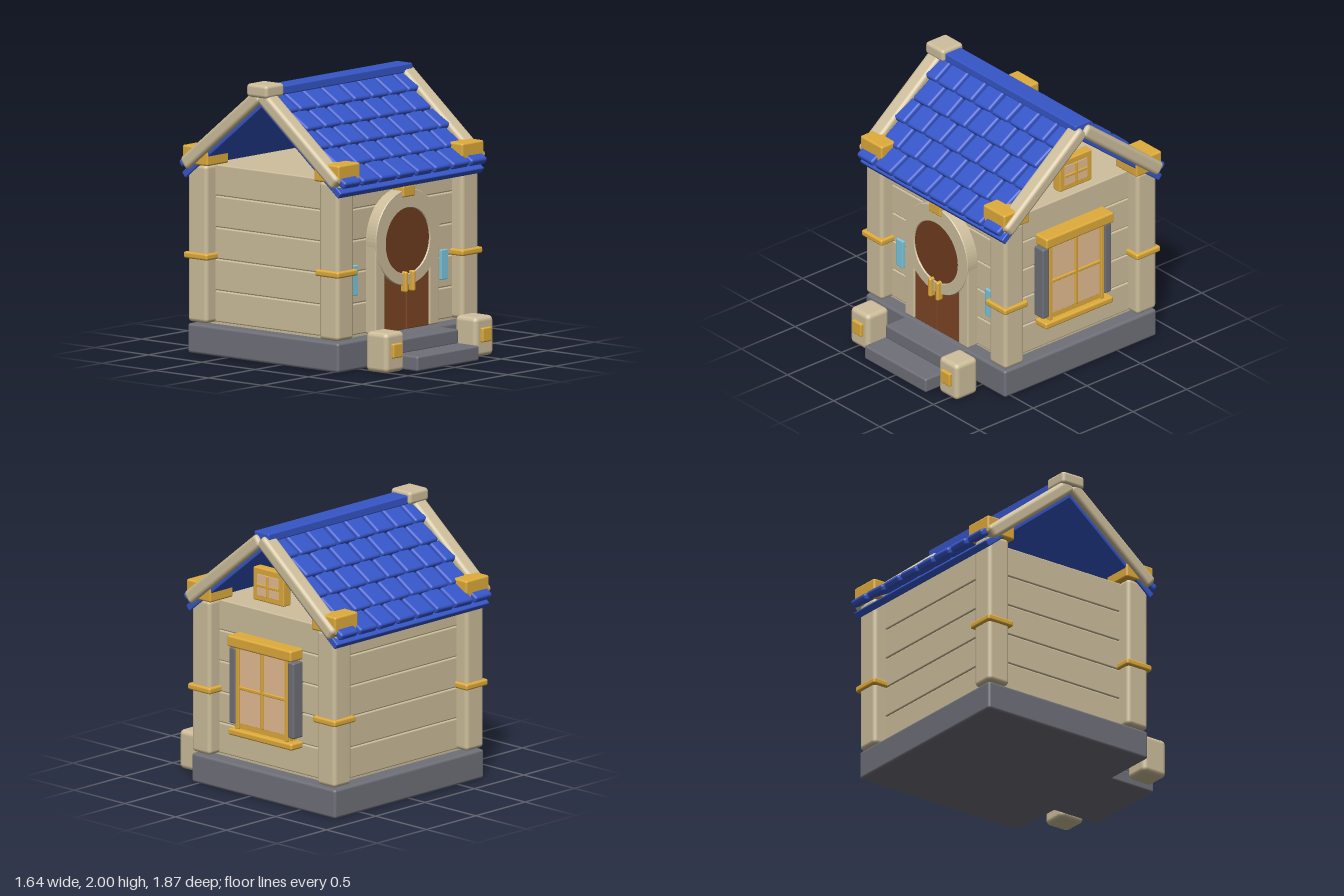
import * as THREE from 'three';
import { RoundedBoxGeometry } from 'three/addons/geometries/RoundedBoxGeometry.js';

const mat = (name, color) => {
  const m = new THREE.MeshStandardMaterial({ color });
  m.name = name;
  return m;
};

export function createModel() {
  const stone = mat('sandstone', 0xcebf9c);
  const slate = mat('slate', 0x70707a);
  const blue = mat('roof blue', 0x3656c8);
  const gold = mat('gold', 0xe0ac3c);
  const wood = mat('door brown', 0x7e4625);
  const darkWood = mat('dark brown', 0x703c1f);
  const glass = mat('warm glass', 0xe6be92);
  const cyan = mat('cyan glass', 0x7dcae2);

  const root = new THREE.Group();
  root.name = 'cottage';
  const house = new THREE.Group();
  house.name = 'house';
  house.position.x = 0.007; // balances the ridge cap overhang
  root.add(house);

  const add = (name, geo, m, parent = house) => {
    const mesh = new THREE.Mesh(geo, m);
    mesh.name = name;
    parent.add(mesh);
    return mesh;
  };
  // Softened box given by its limits on each axis
  const block = (name, m, [x0, x1], [y0, y1], [z0, z1], r = 0.012, parent = house) => {
    const w = x1 - x0, h = y1 - y0, d = z1 - z0;
    const radius = Math.min(r, Math.min(w, h, d) * 0.45);
    const mesh = add(name, new RoundedBoxGeometry(w, h, d, 2, radius), m, parent);
    mesh.position.set((x0 + x1) / 2, (y0 + y1) / 2, (z0 + z1) / 2);
    return mesh;
  };
  // Same block on both sides of x = 0
  const pair = (name, m, [x0, x1], y, z, r) => {
    block(name + 'Left', m, [x0, x1], y, z, r);
    block(name + 'Right', m, [-x1, -x0], y, z, r);
  };

  const ZC = -0.147; // ridge line

  // Foundation and steps
  block('foundation', slate, [-0.757, 0.757], [0, 0.213], [-0.855, 0.56], 0.02);
  block('lowerStep', slate, [-0.333, 0.333], [0, 0.108], [0.5, 0.935], 0.015);
  block('upperStep', slate, [-0.328, 0.328], [0.1, 0.208], [0.5, 0.745], 0.015);

  // Plank walls, set well back from the posts
  block('wallCore', stone, [-0.648, 0.648], [0.2, 1.355], [-0.743, 0.449]);
  for (let i = 0; i < 5; i++) {
    const y = 0.23 + i * 0.226;
    block('wallPlank', stone, [-0.66, 0.66], [y, y + 0.222], [-0.755, 0.461], 0.01);
  }

  // Corner posts with gold bands and gold caps
  for (const s of [1, -1]) {
    const span = (a, b) => (s > 0 ? [ZC + a, ZC + b] : [ZC - b, ZC - a]);
    pair('cornerPost', stone, [0.58, 0.76], [0.225, 1.36], span(0.525, 0.707), 0.03);
    pair('postBand', gold, [0.56, 0.78], [0.68, 0.727], span(0.505, 0.727), 0.015);
    pair('postCap', gold, [0.548, 0.782], [1.357, 1.49], span(0.497, 0.735), 0.015);
  }

  // Doorway: ring, jambs, two leaves, round panel
  const ringShape = new THREE.Shape().absarc(0, 0, 0.34, 0, Math.PI * 2, false);
  ringShape.holes.push(new THREE.Path().absarc(0, -0.025, 0.24, 0, Math.PI * 2, true));
  const ring = add('doorArch', new THREE.ExtrudeGeometry(ringShape, {
    depth: 0.1, curveSegments: 40, bevelEnabled: true, bevelThickness: 0.006, bevelSize: 0.004, bevelSegments: 1,
  }), stone);
  ring.position.set(0, 0.885, 0.45);
  pair('doorJamb', stone, [0.24, 0.342], [0.225, 0.86], [0.44, 0.55]);
  pair('doorLeaf', wood, [0.004, 0.243], [0.225, 0.87], [0.44, 0.54], 0.006);
  const disc = add('doorRoundPanel', new THREE.CylinderGeometry(0.24, 0.24, 0.09, 48), darkWood);
  disc.rotation.x = Math.PI / 2;
  disc.position.set(0, 0.86, 0.5);
  pair('doorHandle', gold, [0.024, 0.056], [0.495, 0.645], [0.525, 0.585], 0.014);
  block('keystone', gold, [-0.065, 0.065], [1.175, 1.258], [0.46, 0.57], 0.012);
  pair('frontPane', cyan, [0.445, 0.52], [0.515, 0.73], [0.445, 0.48], 0.006);

  // Bollards beside the steps
  for (const x of [-0.48, 0.48]) {
    block('bollard', stone, [x - 0.1, x + 0.1], [0.005, 0.292], [0.657, 0.86], 0.035);
    block('bollardPlate', gold, [x - 0.05, x + 0.05], [0.112, 0.215], [0.83, 0.885], 0.01);
  }

  // Large side window
  const win = new THREE.Group();
  win.name = 'sideWindow';
  house.add(win);
  block('windowFrame', gold, [0.64, 0.728], [0.465, 1.08], [-0.38, 0.138], 0.008, win);
  block('windowPane', glass, [0.725, 0.732], [0.512, 1.066], [-0.345, 0.106], 0.002, win);
  block('uprightBar', gold, [0.72, 0.745], [0.512, 1.066], [-0.133, -0.108], 0.006, win);
  block('crossBar', gold, [0.72, 0.745], [0.763, 0.787], [-0.345, 0.106], 0.006, win);
  for (const z of [[-0.375, -0.345], [0.106, 0.136]])
    block('windowStile', gold, [0.71, 0.748], [0.47, 1.08], z, 0.006, win);
  block('windowLintel', gold, [0.64, 0.78], [1.072, 1.155], [-0.44, 0.19], 0.015, win);
  block('windowSill', gold, [0.64, 0.772], [0.422, 0.472], [-0.44, 0.19], 0.015, win);
  for (const z of [[-0.44, -0.38], [0.138, 0.2]])
    block('shutter', slate, [0.64, 0.75], [0.503, 1.06], z, 0.012, win);

  // Small window in the open gable
  const attic = new THREE.Group();
  attic.name = 'gableWindow';
  house.add(attic);
  block('gableFrame', gold, [0.63, 0.705], [1.438, 1.682], [-0.298, 0.003], 0.01, attic);
  block('gablePane', glass, [0.702, 0.709], [1.478, 1.635], [-0.25, -0.04], 0.002, attic);
  block('gableUpright', gold, [0.7, 0.718], [1.478, 1.635], [-0.155, -0.135], 0.004, attic);
  block('gableCrossBar', gold, [0.7, 0.718], [1.545, 1.565], [-0.25, -0.04], 0.004, attic);

  // Roof slopes: local z runs down the slope, local y points outward
  const tileGeo = new RoundedBoxGeometry(0.178, 0.056, 0.196, 3, 0.02);
  let seed = 7;
  const rand = () => ((seed = (seed * 16807) % 2147483647) / 2147483647) - 0.5;
  for (const side of [0, 1]) {
    const half = new THREE.Group();
    half.name = side ? 'backRoof' : 'frontRoof';
    half.position.set(0, 1.86, ZC);
    half.rotation.y = side * Math.PI;
    house.add(half);
    const slope = new THREE.Group();
    slope.name = 'roofSlope';
    slope.rotation.x = 0.677;
    half.add(slope);

    block('roofBoard', blue, [-0.772, 0.772], [-0.025, 0.025], [-0.01, 0.94], 0.008, slope);
    // Battens glimpsed between the front shingles
    if (!side)
      for (const z of [0.2, 0.57])
        block('roofBatten', stone, [-0.32, 0.32], [0.022, 0.034], [z, z + 0.17], 0.003, slope);
    for (const x of [-0.747, 0.747])
      block('rafter', stone, [x - 0.064, x + 0.064], [0, 0.102], [-0.035, 0.875], 0.03, slope);

    // Shingles in staggered rows, the eaves row lifted a little
    for (let row = 0; row < 5; row++) {
      const n = row % 2 ? 7 : 8;
      for (let i = 0; i < n; i++) {
        const tile = add('roofTile', tileGeo, blue, slope);
        tile.position.set((i - (n - 1) / 2) * 0.194, row ? 0.058 : 0.066, 0.833 - row * 0.186);
        tile.rotation.set(row ? -0.13 : -0.19, rand() * 0.05, rand() * 0.04);
        tile.scale.x = 0.98 + rand() * 0.05;
      }
    }
  }

  // Ridge beam and its end cap
  block('ridgeBeam', blue, [-0.75, 0.778], [1.91, 1.973], [ZC - 0.076, ZC + 0.07], 0.01);
  block('ridgeCap', stone, [-0.825, -0.629], [1.905, 2.0], [ZC - 0.1, ZC + 0.095], 0.025);

  return root;
}
